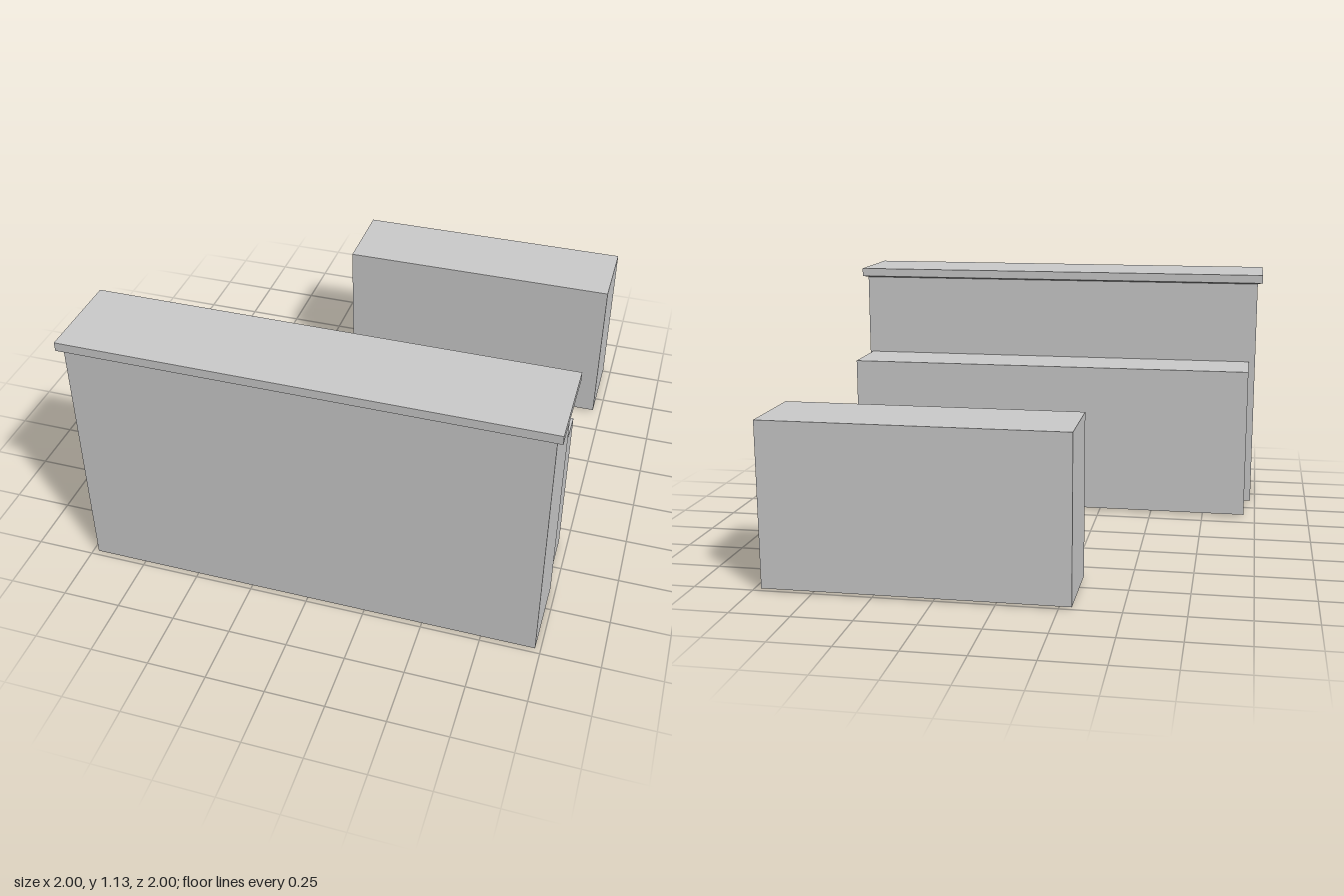
import * as THREE from 'three';

// Box given by its min and max on each axis
function block(name, [x0, x1], [y0, y1], [z0, z1]) {
  const material = new THREE.MeshStandardMaterial({ color: 0xcccccc, flatShading: true });
  const mesh = new THREE.Mesh(new THREE.BoxGeometry(x1 - x0, y1 - y0, z1 - z0), material);
  mesh.position.set((x0 + x1) / 2, (y0 + y1) / 2, (z0 + z1) / 2);
  mesh.name = name;
  return mesh;
}

// Keep only the listed box sides (0 +x, 1 -x, 2 +y, 3 -y, 4 +z, 5 -z)
function keepSides(mesh, sides) {
  const index = Array.from(mesh.geometry.index.array);
  mesh.geometry.setIndex(sides.flatMap((s) => index.slice(s * 6, s * 6 + 6)));
  mesh.geometry.clearGroups();
  mesh.material.side = THREE.DoubleSide;
  return mesh;
}

export function createModel() {
  const group = new THREE.Group();
  group.name = 'counterSet';

  // Tall front counter: four walls, open underneath
  group.add(keepSides(block('frontCounterBody', [-0.977, 0.977], [0, 1.09], [0.627, 0.977]), [0, 1, 4, 5]));

  // Overhanging top slab
  const slab = { x: [-1, 1], z: [0.603, 1] };
  group.add(keepSides(block('counterTop', slab.x, [1.097, 1.135], slab.z), [0, 1, 2, 4, 5]));

  // Shallow sloping underside, narrowing from the slab to the walls
  const underside = block('counterTopUnderside', slab.x, [1.09, 1.097], slab.z);
  const p = underside.geometry.attributes.position;
  for (let i = 0; i < p.count; i++) {
    if (p.getY(i) < 0) {
      p.setX(i, p.getX(i) * 0.977);
      p.setZ(i, p.getZ(i) * 0.882);
    }
  }
  underside.geometry.computeVertexNormals();
  group.add(keepSides(underside, [0, 1, 3, 4, 5]));

  // Lower work counter, let a little way into the tall one
  group.add(block('workCounter', [-0.947, 0.963], [0.01, 0.707], [0.343, 0.703]));

  // Separate back counter
  group.add(block('backCounter', [-0.303, 0.963], [0.01, 0.707], [-1, -0.64]));

  return group;
}
